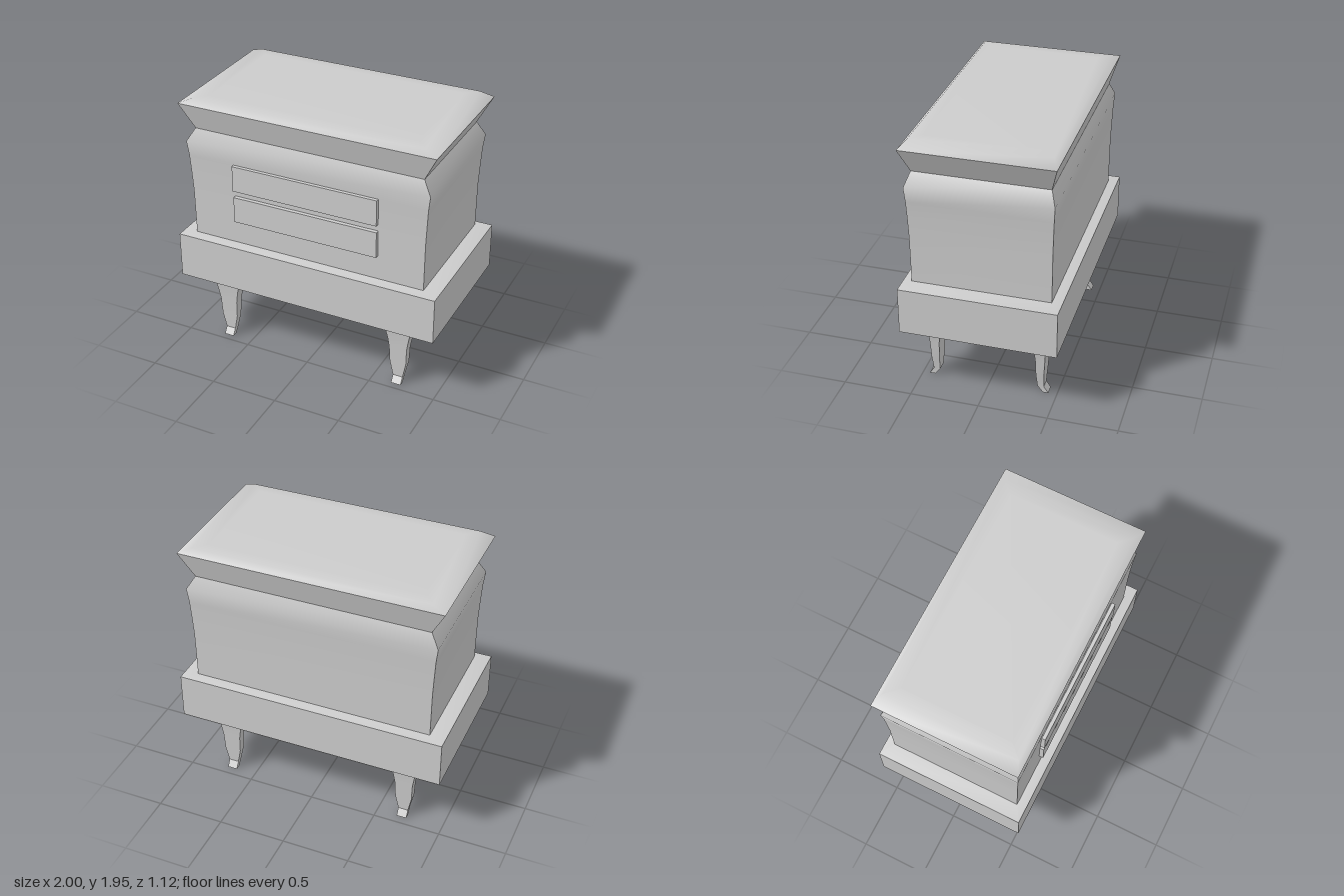
import * as THREE from 'three';
import { toCreasedNormals } from 'three/addons/utils/BufferGeometryUtils.js';

const material = new THREE.MeshStandardMaterial({ color: 0xcccccc });

// Closed loft through rectangles [y, x0, x1, z0, z1], listed from bottom to top
function loft(rings, crease) {
  const pos = [], index = [];
  for (const [y, x0, x1, z0, z1] of rings) {
    pos.push(x0, y, z1, x1, y, z1, x1, y, z0, x0, y, z0);
  }
  for (let i = 0; i < rings.length - 1; i++) {
    for (let j = 0; j < 4; j++) {
      const a = i * 4 + j, b = i * 4 + (j + 1) % 4;
      index.push(a, b, b + 4, a, b + 4, a + 4);
    }
  }
  const t = (rings.length - 1) * 4;
  index.push(0, 2, 1, 0, 3, 2, t, t + 1, t + 2, t, t + 2, t + 3);
  const geo = new THREE.BufferGeometry();
  geo.setAttribute('position', new THREE.Float32BufferAttribute(pos, 3));
  geo.setIndex(index);
  return toCreasedNormals(geo, crease);
}

// Centred loft from a profile of [y, half width, half depth]
const centred = (profile, crease = 0.85) =>
  loft(profile.map(([y, x, z]) => [y, -x, x, -z, z]), crease);

export function createModel() {
  const group = new THREE.Group();
  const add = (name, geo) => {
    const mesh = new THREE.Mesh(geo, material);
    mesh.name = name;
    group.add(mesh);
    return mesh;
  };

  // Plinth with a slightly sloped ledge
  add('base', centred([[0.525, 1, 0.56], [0.87, 1, 0.56], [0.885, 0.89, 0.495]]));

  // Flared body
  add('body', centred([
    [0.88, 0.89, 0.493], [1.23, 0.893, 0.495], [1.38, 0.9, 0.499],
    [1.51, 0.907, 0.504], [1.62, 0.92, 0.511], [1.72, 0.86, 0.475],
  ]));

  // Lid: flared cornice and softly crowned top
  add('cornice', centred([[1.72, 0.86, 0.475], [1.91, 0.96, 0.53]]));
  add('lidTop', centred([
    [1.91, 0.96, 0.53], [1.95, 0.865, 0.488], [1.953, 0.78, 0.4],
  ]));

  // Two front panels
  [['upperPanel', 1.415, 0.195, 0.53], ['lowerPanel', 1.167, 0.197, 0.525]].forEach(([name, y, h, front]) => {
    const depth = front - 0.46;
    add(name, new THREE.BoxGeometry(1.1, h, depth)).position.set(0, y, front - depth / 2);
  });

  // Tapered legs with toes turned outwards: [y, half width, inner z, outer z]
  const leg = [
    [0, 0.037, 0.41, 0.45], [0.05, 0.037, 0.37, 0.417], [0.17, 0.062, 0.364, 0.423],
    [0.3, 0.067, 0.36, 0.43], [0.37, 0.078, 0.35, 0.434], [0.527, 0.11, 0.328, 0.452],
  ];
  for (const sx of [-1, 1]) {
    for (const sz of [-1, 1]) {
      const shift = sz < 0 ? -0.013 : 0;
      const rings = leg.map(([y, w, zi, zo]) => {
        const a = sz * (zi + shift), b = sz * (zo + shift);
        return [y, sx * 0.69 - w, sx * 0.69 + w, Math.min(a, b), Math.max(a, b)];
      });
      add((sz > 0 ? 'front' : 'back') + (sx > 0 ? 'Left' : 'Right') + 'Leg', loft(rings, 0.5));
    }
  }
  return group;
}
